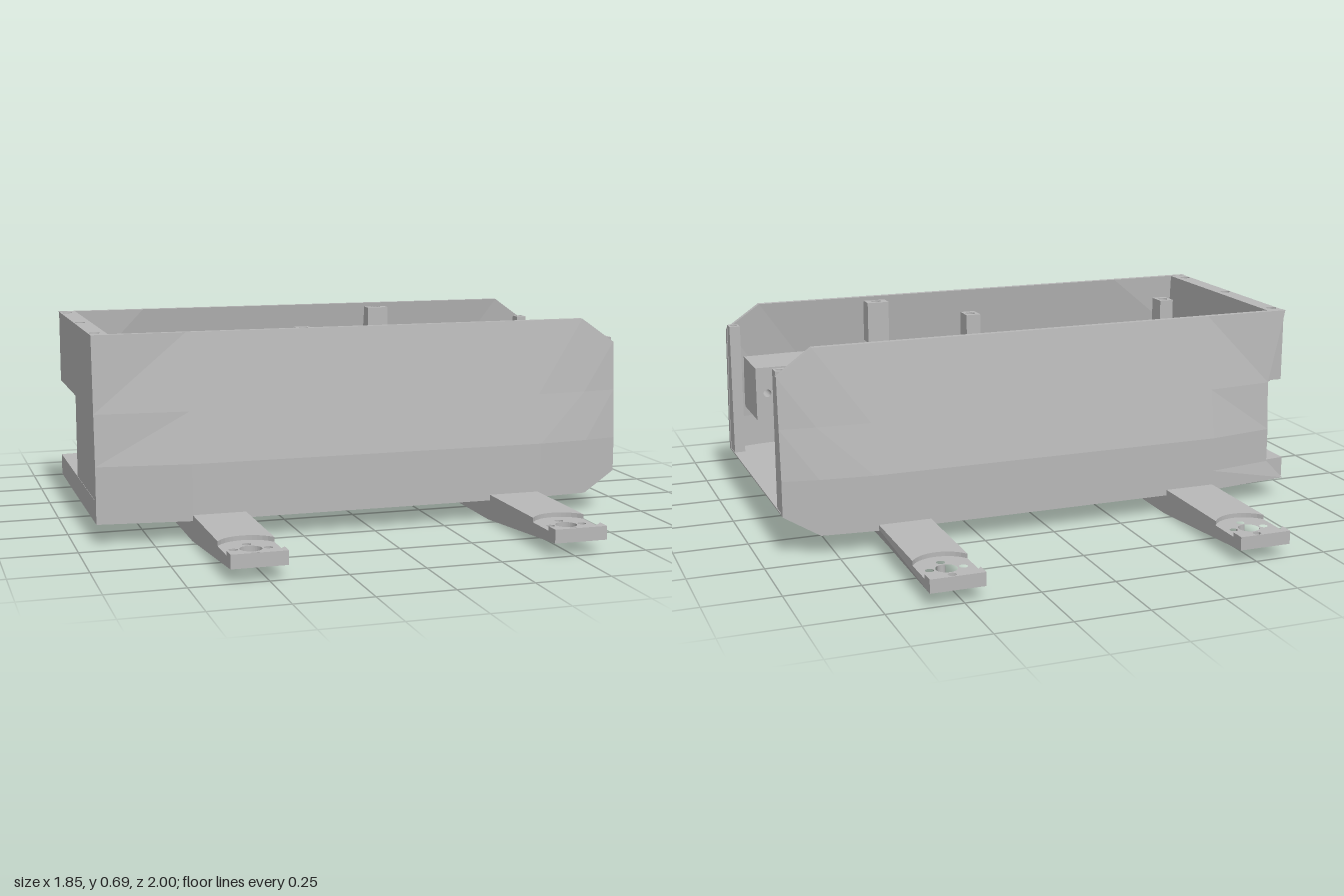
import * as THREE from 'three';

const gray = new THREE.MeshStandardMaterial({ color: 0xb8b8b8 });

export function createModel() {
  const model = new THREE.Group();
  const add = (name, geometry, parent = model) => {
    const mesh = new THREE.Mesh(geometry, gray);
    mesh.name = name;
    parent.add(mesh);
    return mesh;
  };
  const box = (name, x0, x1, y0, y1, z0, z1) =>
    add(name, new THREE.BoxGeometry(x1 - x0, y1 - y0, z1 - z0)
      .translate((x0 + x1) / 2, (y0 + y1) / 2, (z0 + z1) / 2));
  const poly = (pts) => new THREE.Shape(pts.map(([a, b]) => new THREE.Vector2(a, b)));
  const rect = (x0, x1, z0, z1) => poly([[x0, z0], [x1, z0], [x1, z1], [x0, z1]]);
  const drill = (shape, x, z, r) => {
    shape.holes.push(new THREE.Path().absarc(x, z, r, 0, Math.PI * 2, true));
    return shape;
  };
  // Plan shape (x, z) raised between two heights
  const slab = (shape, y0, y1) =>
    new THREE.ExtrudeGeometry(shape, { depth: y1 - y0, bevelEnabled: false, curveSegments: 16 })
      .rotateX(Math.PI / 2).translate(0, y1, 0);
  // End shape (z, y) running between two x positions
  const across = (shape, x0, x1) =>
    new THREE.ExtrudeGeometry(shape, { depth: x1 - x0, bevelEnabled: false })
      .rotateY(-Math.PI / 2).translate(x1, 0, 0);
  const post = (name, x, z, w, d, y0, y1, r) =>
    add(name, slab(drill(rect(x - w / 2, x + w / 2, z - d / 2, z + d / 2), x, z, r), y0, y1));

  // Folded side walls: widest low in the middle, tapering to the ends and the top
  const xs = [-0.93, -0.62, 0.62, 0.8, 0.92];
  const bulge = [0.43, 0.47, 0.47, 0.452, 0.43];
  function wallGeometry(side) {
    const pos = [], idx = [], rows = 5, cols = xs.length, n = rows * cols;
    for (const inset of [0, 0.02]) {
      xs.forEach((x, c) => {
        const last = c === cols - 1;
        [last ? 0.14 : 0.07, last ? 0.16 : 0.14, 0.26, 0.43, last ? 0.6 : 0.685].forEach((y, r) => {
          const t = Math.max(0, (y - 0.26) / 0.425);
          const z = THREE.MathUtils.lerp(bulge[c], 0.4, t) - inset;
          const notch = side < 0 && c === 0 && r > 0 && r < 4 ? 0.07 : 0;
          pos.push(x + notch, y, z * side);
        });
      });
    }
    const quad = (a, b, c, d) => side > 0 ? idx.push(a, b, c, a, c, d) : idx.push(a, c, b, a, d, c);
    for (let c = 0; c < cols - 1; c++) {
      for (let r = 0; r < rows - 1; r++) {
        const a = c * rows + r, b = a + rows;
        quad(a, b, b + 1, a + 1);
        quad(n + a, n + a + 1, n + b + 1, n + b);
      }
      const lo = c * rows, hi = lo + rows - 1;
      quad(lo, n + lo, n + lo + rows, lo + rows);
      quad(hi, hi + rows, n + hi + rows, n + hi);
    }
    for (let r = 0; r < rows - 1; r++) {
      const e = (cols - 1) * rows + r;
      quad(r, r + 1, n + r + 1, n + r);
      quad(e, n + e, n + e + 1, e + 1);
    }
    let g = new THREE.BufferGeometry();
    g.setAttribute('position', new THREE.Float32BufferAttribute(pos, 3));
    g.setIndex(idx);
    g = g.toNonIndexed();
    g.computeVertexNormals();
    return g;
  }
  add('leftSideWall', wallGeometry(1));
  add('rightSideWall', wallGeometry(-1));

  // Floor with two pockets over the arms, and a ramped nose
  const floor = poly([[-0.93, -0.42], [-0.62, -0.46], [0.62, -0.46], [0.8, -0.442],
    [0.8, 0.442], [0.62, 0.46], [-0.62, 0.46], [-0.93, 0.42]]);
  floor.holes.push(rect(-0.62, -0.44, -0.3, 0.29), rect(0.43, 0.61, -0.31, 0.3));
  add('floor', slab(floor, 0.07, 0.145));
  const nose = slab(poly([[0.8, -0.442], [0.92, -0.42], [0.92, 0.42], [0.8, 0.442]]), 0.07, 0.145);
  const np = nose.attributes.position;
  for (let i = 0; i < np.count; i++) {
    if (np.getX(i) > 0.9 && np.getY(i) < 0.1) np.setY(i, 0.14);
  }
  nose.computeVertexNormals();
  add('floorNose', nose);

  // End wall with side window and a drilled top rail
  add('endWall', across(poly([[-0.42, 0.07], [0.42, 0.07], [0.42, 0.26], [0.395, 0.62],
    [-0.39, 0.62], [-0.39, 0.43], [0, 0.43], [0, 0.14], [-0.42, 0.14]]), -0.929, -0.87));
  const rail = rect(-0.929, -0.87, -0.39, 0.39);
  for (const z of [-0.34, 0, 0.33]) drill(rail, -0.907, z, 0.018);
  add('endWallTopRail', slab(rail, 0.62, 0.684));

  // Compartment behind the window
  box('compartmentLongWall', -0.88, -0.11, 0.14, 0.43, -0.03, -0.005);
  box('compartmentCrossWall', -0.135, -0.11, 0.14, 0.43, -0.43, -0.005);

  // Ledges, corner posts, nose flanges
  box('endLedge', -0.88, -0.81, 0.43, 0.49, -0.4, 0.4);
  for (const s of [-1, 1]) {
    const z0 = s > 0 ? 0.35 : -0.41;
    box('sideLedge', -0.87, 0.02, 0.43, 0.49, z0, z0 + 0.06);
    for (const x of [-0.82, -0.005]) {
      box('postFoot', x - 0.045, x + 0.045, 0.42, 0.49, s > 0 ? 0.32 : -0.4, s > 0 ? 0.4 : -0.32);
      post('cornerPost', x, s * 0.35, 0.055, 0.07, 0.49, 0.6, 0.018);
    }
    const flange = [[0.345, 0.14], [0.42, 0.14], [0.42, 0.26], [0.395, 0.56], [0.345, 0.56]];
    add('noseFlange', across(poly(flange.map(([z, y]) => [z * s, y])), 0.88, 0.918));
    post('noseFlangeTop', 0.899, s * 0.368, 0.038, 0.045, 0.56, 0.615, 0.012);
  }
  post('lidMount', 0.29, -0.365, 0.08, 0.06, 0.52, 0.67, 0.018);
  post('lidMount', 0.365, 0.36, 0.08, 0.06, 0.52, 0.67, 0.018);

  // Open-fronted bracket on the left wall
  const bracket = rect(0.45, 0.86, 0.3, 0.49);
  bracket.holes.push(rect(0.53, 0.78, 0.335, 0.455));
  drill(bracket, 0.49, 0.395, 0.014);
  drill(bracket, 0.82, 0.395, 0.014);
  add('bracket', new THREE.ExtrudeGeometry(bracket, { depth: 0.21, bevelEnabled: false }).translate(0, 0, 0.2));

  // Cross arms with tapered ends and motor mounts; bevel trims the lower outer edge
  function arm(x, bevel) {
    const group = new THREE.Group();
    group.name = 'crossArm';
    group.position.x = x;
    model.add(group);
    const w = 0.09;
    const shapeUnderside = (g) => {
      const p = g.attributes.position;
      for (let i = 0; i < p.count; i++) {
        if (p.getY(i) > 0.01) continue;
        const t = Math.max(0, (Math.abs(p.getZ(i)) - 0.46) / 0.54);
        p.setY(i, 0.045 * t);
        if (p.getX(i) > w - 0.001) p.setX(i, w - bevel * (1 - t));
      }
      g.computeVertexNormals();
      return g;
    };
    add('armMiddle', shapeUnderside(slab(rect(-w, w, -0.46, 0.46), 0, 0.09)), group);
    for (const s of [-1, 1]) {
      const end = rect(-w, w, s * 0.46, s);
      drill(end, 0, s * 0.89, 0.035);
      for (const [dx, dz] of [[1, 0], [-1, 0], [0, 1], [0, -1]]) {
        drill(end, dx * 0.055, s * 0.89 + dz * 0.055, 0.014);
      }
      add('armEnd', shapeUnderside(slab(end, 0, 0.075)), group);
      // Raised top around the round motor recess
      const arc = (dir) => Array.from({ length: 13 }, (_, i) => {
        const ax = w - (2 * w * i) / 12;
        return [ax, s * (0.89 + dir * Math.sqrt(0.108 ** 2 - ax * ax))];
      });
      add('armTop', slab(poly([[-w, s * 0.46], [w, s * 0.46], ...arc(-1)]), 0.075, 0.09), group);
      add('armTip', slab(poly([[-w, s], [w, s], ...arc(1)]), 0.075, 0.09), group);
    }
  }
  arm(-0.53, 0);
  arm(0.52, 0.04);

  return model;
}
